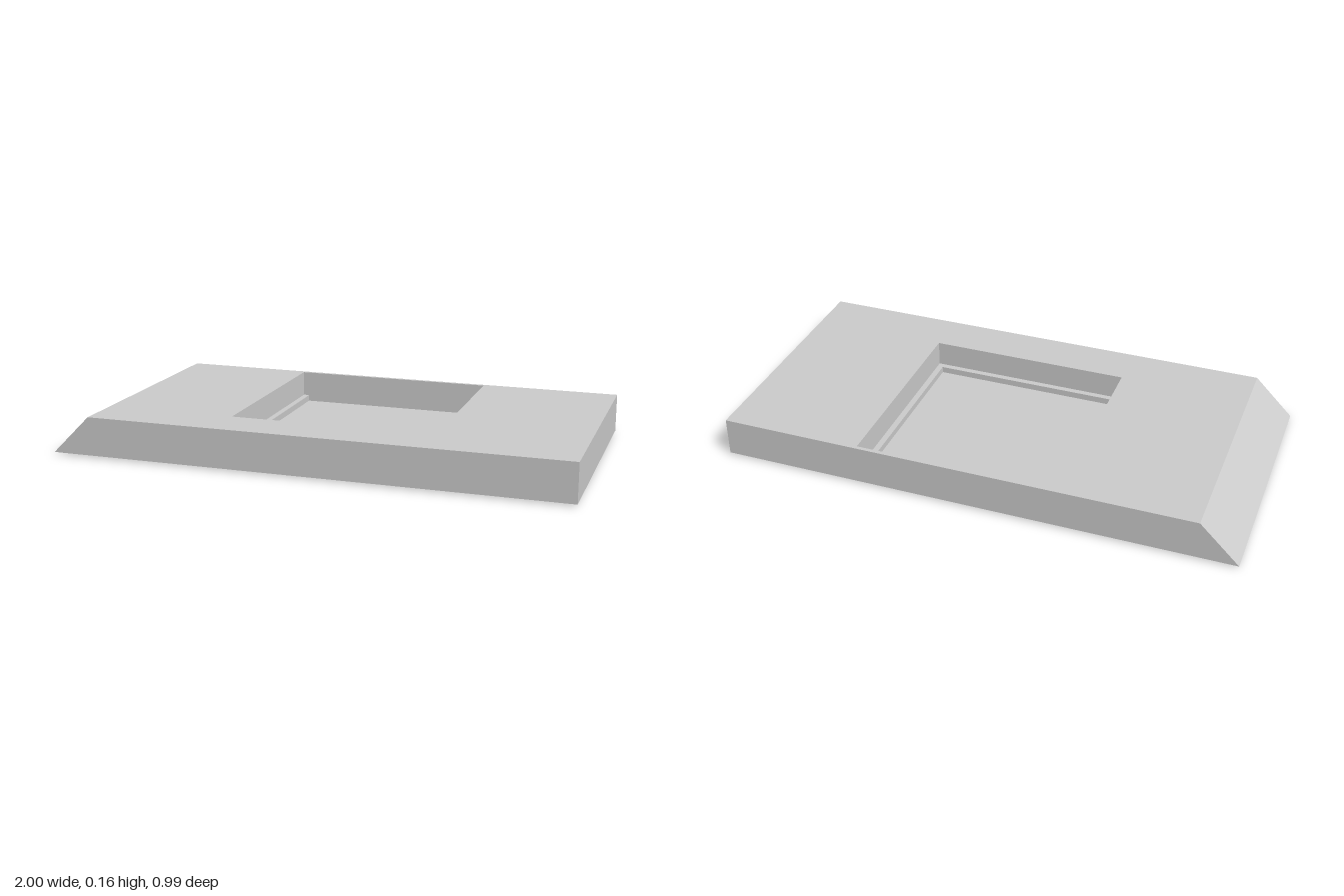
import * as THREE from 'three';

const material = new THREE.MeshStandardMaterial({ color: 0xcccccc, flatShading: true });

// Opening limits, shared by the body and the insert
const X0 = -0.338, X1 = 0.455, Z0 = -0.48, Z1 = 0.313;
const LIP = 0.023;

function rect(target, x0, x1, z0, z1) {
  target.moveTo(x0, -z0);
  target.lineTo(x0, -z1);
  target.lineTo(x1, -z1);
  target.lineTo(x1, -z0);
  target.closePath();
  return target;
}

// Extrude a plan outline upward from y0 to y1
function slab(shape, y0, y1) {
  const g = new THREE.ExtrudeGeometry(shape, { depth: y1 - y0, bevelEnabled: false });
  g.rotateX(-Math.PI / 2);
  g.translate(0, y0, 0);
  return g;
}

export function createModel() {
  const group = new THREE.Group();
  const add = (name, geometry) => {
    const mesh = new THREE.Mesh(geometry, material);
    mesh.name = name;
    group.add(mesh);
  };
  const box = (name, x0, x1, y0, y1, z0, z1) => {
    const g = new THREE.BoxGeometry(x1 - x0, y1 - y0, z1 - z0);
    g.translate((x0 + x1) / 2, (y0 + y1) / 2, (z0 + z1) / 2);
    add(name, g);
  };

  // Body with a square opening; the top of the right end is pulled in to make the slope
  const outline = rect(new THREE.Shape(), -1, 1, -0.495, 0.495);
  outline.holes.push(rect(new THREE.Path(), X0, X1, Z0, Z1));
  const body = slab(outline, 0.007, 0.157);
  const p = body.attributes.position;
  for (let i = 0; i < p.count; i++) {
    if (p.getX(i) < -0.99 && p.getY(i) > 0.1) p.setX(i, -0.85);
  }
  body.computeVertexNormals();
  add('body', body);

  // U-shaped ledge around three sides of the opening
  const u = new THREE.Shape();
  [[X0, Z0], [X0, Z1], [X1, Z1], [X1, Z0], [X1 - LIP, Z0], [X1 - LIP, Z1 - LIP],
    [X0 + LIP, Z1 - LIP], [X0 + LIP, Z0]].forEach(([x, z], i) =>
    i ? u.lineTo(x, -z) : u.moveTo(x, -z));
  add('ledge', slab(u, 0, 0.057));

  // Floor panel reaching the back wall
  box('floor', X0 + LIP, X1 - LIP, 0.02, 0.032, Z0, Z1 - LIP);

  // Four slats under the floor
  const pitch = (Z1 - LIP - Z0) / 4;
  for (let i = 0; i < 4; i++) {
    const z = Z0 + i * pitch;
    box('slat', X0 + LIP + 0.012, X1 - LIP - 0.012, 0.003, 0.02, z + 0.006, z + pitch - 0.006);
  }
  return group;
}
